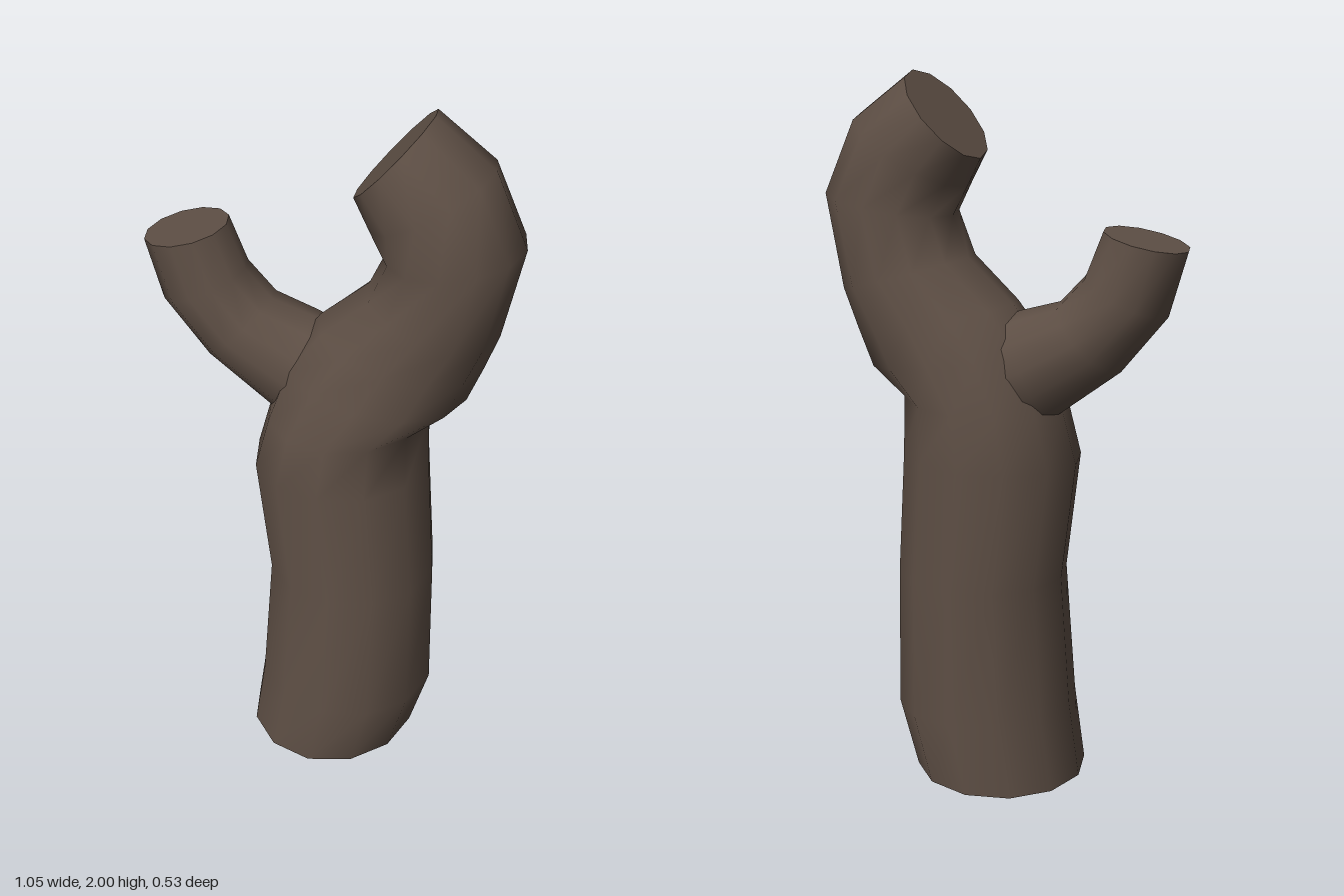
import * as THREE from 'three';

const SIDES = 12;

// Skin a limb through rings given as [ax, ay, bx, by, zFront, zBack]:
// a and b are the ring's opposite edge points in the xy plane.
function limb(rings, capStart) {
  const pos = [], idx = [];
  const addRing = ([ax, ay, bx, by, zf, zb]) => {
    for (let i = 0; i < SIDES; i++) {
      const t = (i / SIDES) * Math.PI * 2, c = Math.cos(t) / 2, s = Math.sin(t) / 2;
      pos.push((ax + bx) / 2 + (bx - ax) * c, (ay + by) / 2 + (by - ay) * c, (zf + zb) / 2 + (zf - zb) * s);
    }
  };
  rings.forEach(addRing);
  for (let r = 0; r < rings.length - 1; r++) {
    for (let i = 0; i < SIDES; i++) {
      const a = r * SIDES + i, b = r * SIDES + (i + 1) % SIDES;
      idx.push(a, a + SIDES, b, b, a + SIDES, b + SIDES);
    }
  }
  // Flat sawn ends with their own vertices, so the rim stays sharp
  const cap = (ring, flip) => {
    const base = pos.length / 3;
    addRing(ring);
    for (let i = 1; i < SIDES - 1; i++) {
      if (flip) idx.push(base, base + i, base + i + 1);
      else idx.push(base, base + i + 1, base + i);
    }
  };
  cap(rings[rings.length - 1], false);
  if (capStart) cap(rings[0], true);
  const geo = new THREE.BufferGeometry();
  geo.setAttribute('position', new THREE.Float32BufferAttribute(pos, 3));
  geo.setIndex(idx);
  geo.computeVertexNormals();
  return geo;
}

export function createModel() {
  const bark = new THREE.MeshStandardMaterial({ color: 0x5e4f45 });
  bark.name = 'bark brown';
  const group = new THREE.Group();
  group.name = 'forkedTrunk';
  const add = (name, geo) => {
    const mesh = new THREE.Mesh(geo, bark);
    mesh.name = name;
    group.add(mesh);
  };

  // Trunk flowing into the thick hooked bough
  add('trunkAndBough', limb([
    [-0.22, 0.0, 0.265, 0.01, 0.265, -0.25],
    [-0.19, 0.22, 0.32, 0.2, 0.268, -0.26],
    [-0.165, 0.6, 0.315, 0.6, 0.24, -0.247],
    [-0.21, 0.94, 0.29, 0.96, 0.235, -0.262],
    [-0.17, 1.09, 0.285, 1.12, 0.222, -0.252],
    [-0.12, 1.26, 0.385, 1.19, 0.195, -0.24],
    [-0.03, 1.38, 0.425, 1.29, 0.172, -0.232],
    [0.105, 1.5, 0.465, 1.4, 0.165, -0.225],
    [0.155, 1.61, 0.523, 1.67, 0.165, -0.208],
    [0.115, 1.69, 0.435, 1.88, 0.165, -0.195],
    [0.07, 1.77, 0.27, 2.0, 0.13, -0.18],
  ], true));

  // Thin side branch, rooted inside the trunk
  add('sideBranch', limb([
    [0.04, 1.0, 0.09, 1.3, 0.1, -0.165],
    [-0.16, 1.08, -0.05, 1.365, 0.1, -0.168],
    [-0.345, 1.22, -0.17, 1.4, 0.097, -0.163],
    [-0.475, 1.38, -0.245, 1.48, 0.095, -0.158],
    [-0.525, 1.555, -0.295, 1.607, 0.09, -0.15],
  ], false));

  return group;
}
